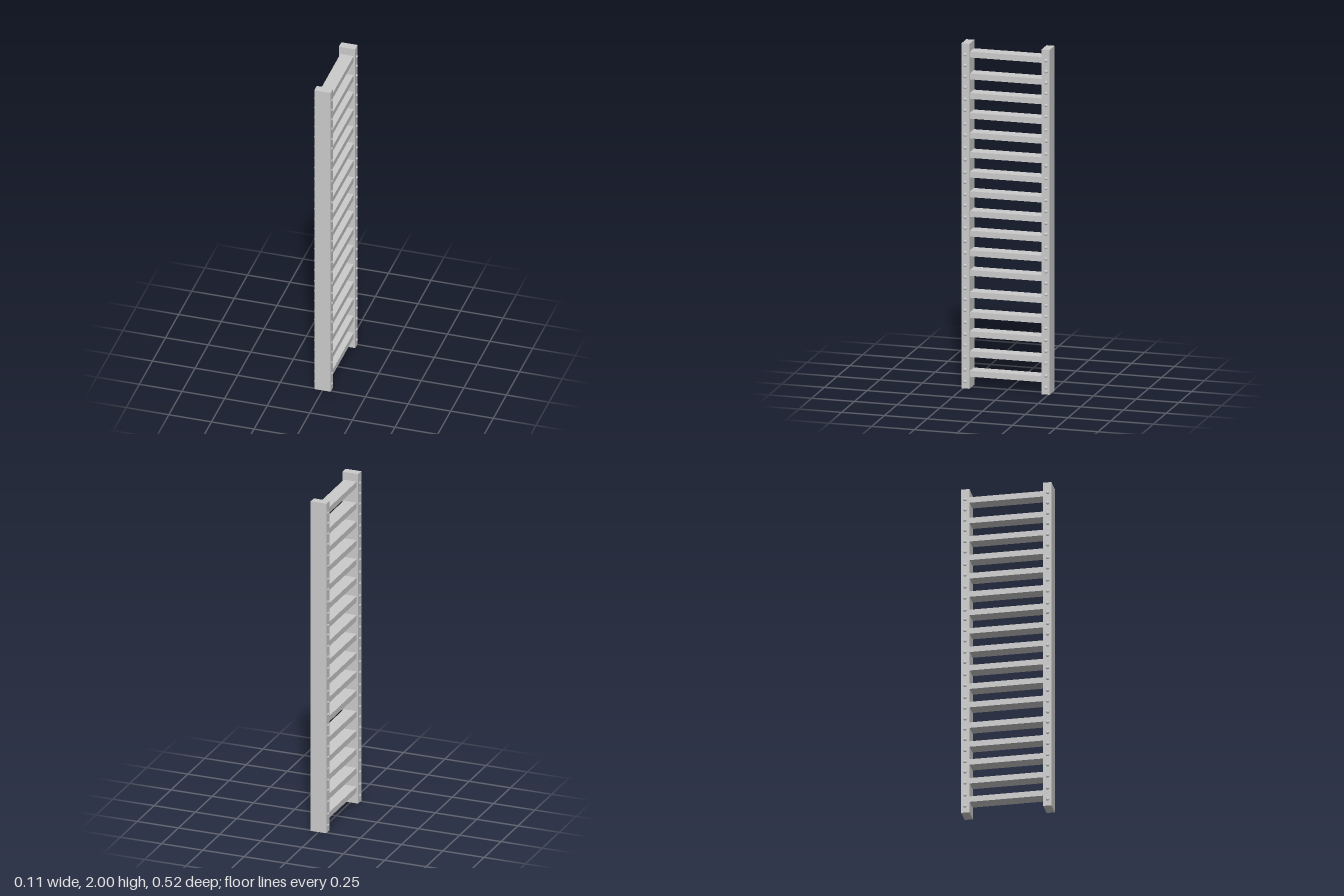
import * as THREE from 'three';

const material = new THREE.MeshStandardMaterial({ color: 0xcccccc });

export function createModel() {
  const group = new THREE.Group();
  const add = (name, geometry, x, y, z) => {
    const mesh = new THREE.Mesh(geometry, material);
    mesh.name = name;
    mesh.position.set(x, y, z);
    group.add(mesh);
    return mesh;
  };

  // Two upright rails, front and back
  const railGeo = new THREE.BoxGeometry(0.096, 2, 0.047);
  add('frontRail', railGeo, 0, 1, 0.2345);
  add('backRail', railGeo, 0, 1, -0.2345);

  // Flat rungs, slightly unevenly spaced
  const rungHeights = [0.085, 0.199, 0.315, 0.426, 0.543, 0.67, 0.784, 0.898, 1.012,
    1.126, 1.24, 1.354, 1.467, 1.581, 1.696, 1.809, 1.936];
  const rungGeo = new THREE.BoxGeometry(0.078, 0.034, 0.426);
  rungHeights.forEach((y, i) => add('rung' + (i + 1), rungGeo, 0, y, 0));

  // Domed rivets along both side faces of each rail
  const rivetHeights = [0.04, 0.109, 0.183, 0.252, 0.315, 0.384, 0.453, 0.517, 0.58, 0.646,
    0.713, 0.787, 0.853, 0.93, 0.993, 1.062, 1.126, 1.195, 1.253, 1.327, 1.396, 1.47,
    1.534, 1.613, 1.677, 1.746, 1.809, 1.873, 1.936];
  const rivetGeo = new THREE.LatheGeometry([
    new THREE.Vector2(0.0105, -0.002),
    new THREE.Vector2(0.0095, 0.002),
    new THREE.Vector2(0.006, 0.0055),
    new THREE.Vector2(0, 0.0065),
  ], 10);
  for (const z of [0.2365, -0.2365]) {
    for (const side of [1, -1]) {
      for (const y of rivetHeights) {
        add('rivet', rivetGeo, side * 0.048, y, z).rotation.z = -side * Math.PI / 2;
      }
    }
  }
  return group;
}
